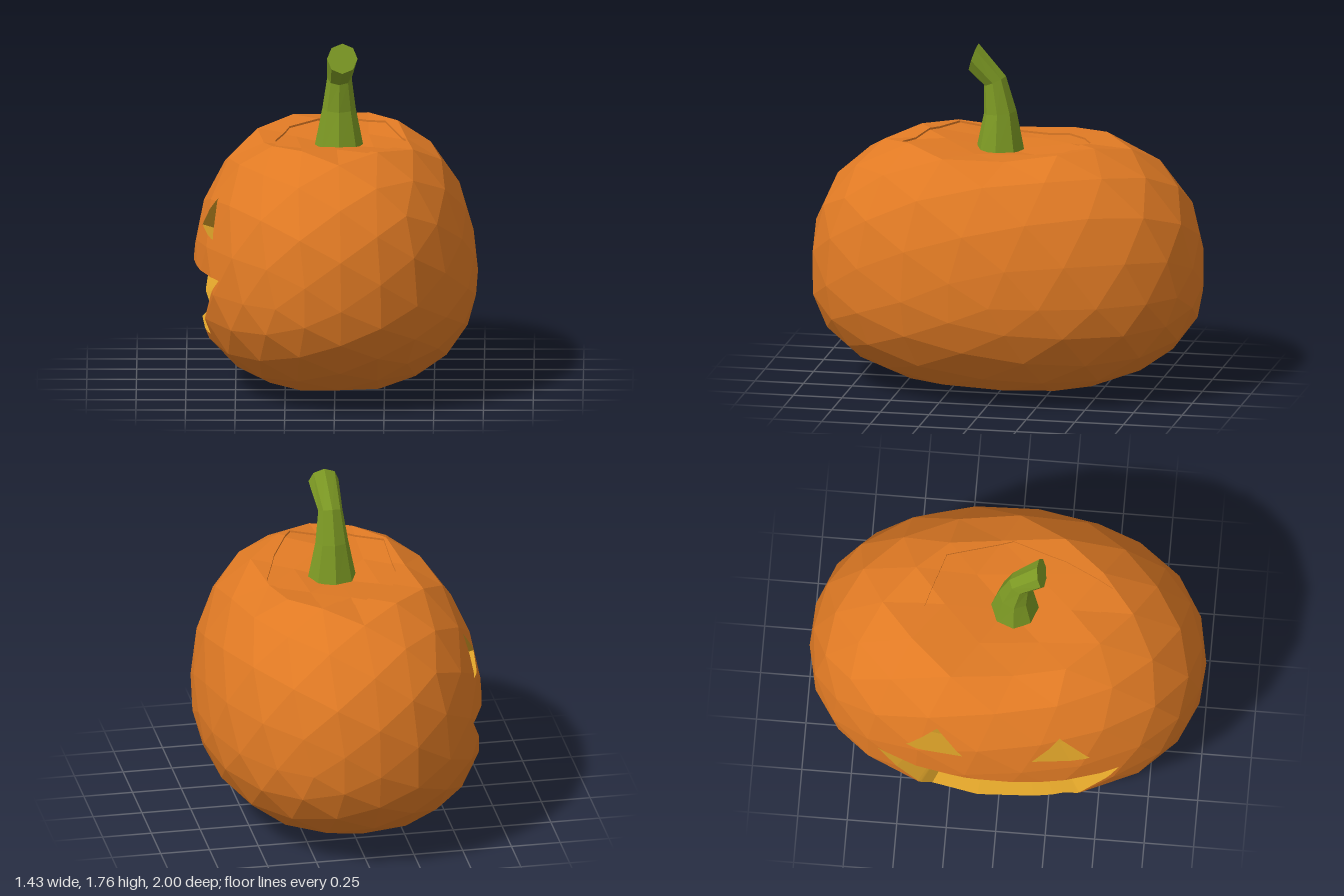
import * as THREE from 'three';

const ORANGE = 0xe07a24, YELLOW = 0xdaa028, GREEN = 0x7d9a24;

// Flat-shaded mesh from a list of convex polygons (fans of Vector3)
function polyMesh(name, polys, color) {
  const points = [];
  for (const p of polys)
    for (let i = 1; i < p.length - 1; i++) points.push(p[0], p[i], p[i + 1]);
  const geo = new THREE.BufferGeometry().setFromPoints(points);
  geo.computeVertexNormals();
  const mesh = new THREE.Mesh(geo, new THREE.MeshStandardMaterial({ color, flatShading: true }));
  mesh.name = name;
  return mesh;
}

// Squashed, boxy ellipsoid, rounder below, with a hollow round the stem
function gourdPoint(v) {
  const { x, y, z } = v.normalize();
  const n = y > 0 ? 2.6 : 2.3, m = 2.2;
  const flat = Math.pow(Math.abs(x), m) + Math.pow(Math.abs(z), m);
  const k = Math.pow(Math.pow(flat, n / m) + Math.pow(Math.abs(y), n), -1 / n);
  const px = x * k * 0.72 * (1 - 0.07 * Math.max(0, y * k)), pz = z * k;
  const hollow = Math.max(0, 1 - (px * px + pz * pz) / 0.2) * (y > 0 ? 0.12 : -0.015);
  return new THREE.Vector3(px, 0.56 + y * k * (y > 0 ? 0.78 : 0.57) - hollow, pz);
}

function gourdTriangles() {
  const pos = new THREE.IcosahedronGeometry(1, 3).rotateY(0.6).attributes.position;
  const tris = [];
  for (let i = 0; i < pos.count; i += 3)
    tris.push([0, 1, 2].map(j => gourdPoint(new THREE.Vector3().fromBufferAttribute(pos, i + j))));
  return tris;
}

// Part of a convex polygon on the positive side of a line
function clip(poly, dist) {
  const out = [];
  poly.forEach((a, i) => {
    const b = poly[(i + 1) % poly.length], da = dist(a), db = dist(b);
    if (da >= 0) out.push(a);
    if (da * db < 0 && Math.abs(da) > 1e-7 && Math.abs(db) > 1e-7)
      out.push(a.clone().lerp(b, da / (da - db)));
  });
  return out;
}

// Cuts a convex outline out of the skin; gives the rest, the sunk floor and the walls
function carve(skin, { outline, u, v, facing, sink }) {
  const cu = outline.reduce((s, p) => s + p[0], 0) / outline.length;
  const cv = outline.reduce((s, p) => s + p[1], 0) / outline.length;
  const lines = outline.map(([au, av], i) => {
    const [bu, bv] = outline[(i + 1) % outline.length];
    const len = Math.hypot(bu - au, bv - av);
    const side = (pu, pv) => ((bu - au) * (pv - av) - (bv - av) * (pu - au)) / len;
    const sign = Math.sign(side(cu, cv));
    return p => sign * side(p[u], p[v]);
  });
  const kept = [], floor = [], walls = [];
  for (const poly of skin) {
    if (!poly.every(facing)) { kept.push(poly); continue; }
    let rest = poly;
    const outside = [];
    for (const d of lines) {
      const cut = clip(rest, p => -d(p));
      if (cut.length > 2) outside.push(cut);
      rest = clip(rest, d);
      if (rest.length < 3) break;
    }
    if (rest.length < 3) { kept.push(poly); continue; }
    kept.push(...outside);
    const low = rest.map(sink);
    floor.push(low);
    rest.forEach((a, i) => {
      const j = (i + 1) % rest.length, b = rest[j];
      if (lines.some(d => Math.abs(d(a)) < 1e-5 && Math.abs(d(b)) < 1e-5))
        walls.push([a, b, low[j], low[i]]);
    });
  }
  return { kept, floor, walls };
}

// Octagonal stem lofted through tilted rings: x, y, z, radius, tilt
function stemPolys() {
  const rings = [
    [0.02, 1.19, 0.035, 0.128, 0], [0.02, 1.41, 0.035, 0.084, 0.1],
    [0.022, 1.57, 0.062, 0.062, 0.43], [0.037, 1.69, 0.167, 0.077, 1.26],
  ].map(([x, y, z, r, tilt]) => Array.from({ length: 8 }, (_, i) => {
    const a = i / 8 * Math.PI * 2, s = r * Math.sin(a);
    return new THREE.Vector3(x + r * Math.cos(a), y - s * Math.sin(tilt), z + s * Math.cos(tilt));
  }));
  const polys = [[...rings[3]].reverse()];
  for (let k = 0; k < 3; k++)
    for (let i = 0; i < 8; i++) {
      const j = (i + 1) % 8;
      polys.push([rings[k][j], rings[k][i], rings[k + 1][i], rings[k + 1][j]]);
    }
  return polys;
}

export function createModel() {
  const group = new THREE.Group();
  group.name = 'carvedPumpkin';
  let skin = gourdTriangles();

  // Face openings, cut right through the wall
  const centre = new THREE.Vector3(0, 0.6, 0);
  const inset = p => p.clone().lerp(centre, 0.17);
  const eye = s => [[0.31 * s, 1.0], [0.465 * s, 0.82], [0.175 * s, 0.84]];
  const openings = {
    leftEye: eye(1),
    rightEye: eye(-1),
    mouth: [[-0.61, 0.64], [0.61, 0.64], [0.33, 0.31], [-0.33, 0.31]],
  };
  for (const [name, outline] of Object.entries(openings)) {
    const { kept, walls } = carve(skin, { outline, u: 'z', v: 'y', facing: p => p.x < -0.1, sink: inset });
    skin = kept;
    group.add(polyMesh(name, walls, YELLOW));
  }

  // Inside of the hollow shell
  group.add(polyMesh('inside', skin.map(poly => poly.map(inset).reverse()), YELLOW));

  // Lid, set slightly below the rim
  const lid = carve(skin, {
    outline: [[-0.3, 0], [-0.3, 0.31], [-0.09, 0.43], [0.14, 0.52], [0.27, 0.27],
      [0.36, 0], [0.25, -0.33], [-0.03, -0.42], [-0.23, -0.27]],
    u: 'x', v: 'z', facing: p => p.y > 0.9,
    sink: p => p.clone().setY(p.y - 0.01),
  });
  group.add(polyMesh('lid', [...lid.floor, ...lid.walls], ORANGE));
  group.add(polyMesh('body', lid.kept, ORANGE));
  group.add(polyMesh('stem', stemPolys(), GREEN));
  return group;
}
